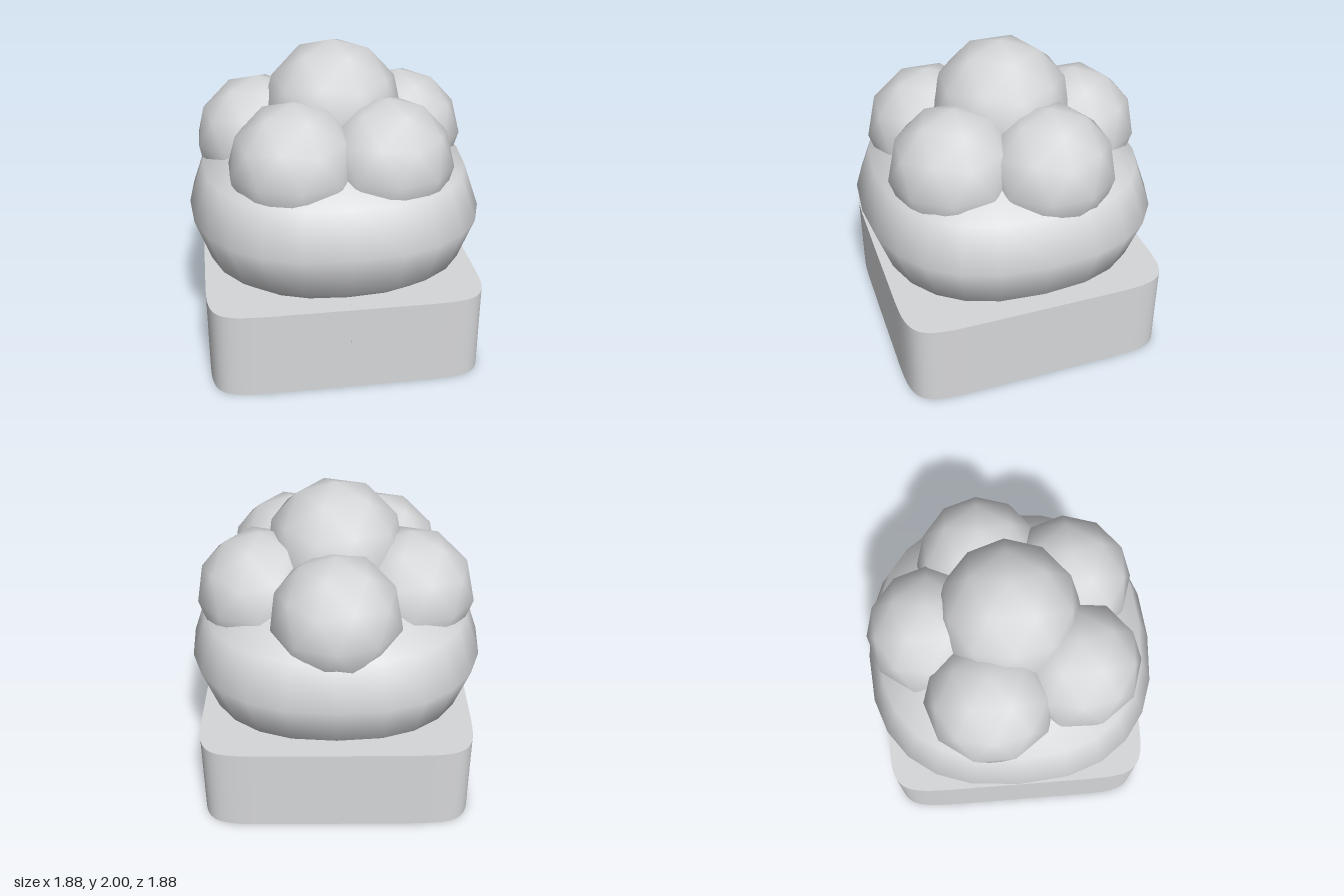
import * as THREE from 'three';
import { mergeVertices } from 'three/addons/utils/BufferGeometryUtils.js';

// Push a round cross-section towards a square one; lower power is squarer
function squareOff(geometry, power) {
  const p = geometry.attributes.position;
  for (let i = 0; i < p.count; i++) {
    const x = p.getX(i), z = p.getZ(i), r = Math.hypot(x, z);
    if (r < 1e-6) continue;
    const bend = (v) => Math.sign(v) * r * Math.pow(Math.abs(v) / r, power);
    p.setX(i, bend(x));
    p.setZ(i, bend(z));
  }
  geometry.computeVertexNormals();
  return geometry;
}

export function createModel() {
  const model = new THREE.Group();
  const grey = new THREE.MeshStandardMaterial({ color: 0xd6d7d9 });
  grey.name = 'light grey';
  const dark = new THREE.MeshStandardMaterial({ color: 0x160430 });
  dark.name = 'dark violet';

  const add = (name, geometry, material = grey) => {
    const mesh = new THREE.Mesh(geometry, material);
    mesh.name = name;
    model.add(mesh);
    return mesh;
  };

  // Square block with rounded corners and a dark underside
  const block = squareOff(new THREE.CylinderGeometry(0.873, 0.873, 0.566, 64), 0.23);
  add('base', block, [grey, grey, dark]).position.y = 0.283;

  // Wide, slightly squared mound
  const profile = [
    [0, 0.42], [0.61, 0.475], [0.845, 0.665], [0.942, 0.945],
    [0.845, 1.225], [0.54, 1.41], [0, 1.46],
  ].map(([r, y]) => new THREE.Vector2(r, y));
  let mound = new THREE.LatheGeometry(profile, 24);
  mound.deleteAttribute('uv');
  mound.deleteAttribute('normal');
  mound = mergeVertices(mound, 1e-4);
  add('mound', squareOff(mound, 0.82));

  // Faceted-outline balls, each with one vertex straight up
  const ball = (name, radius, x, y, z) => {
    const geometry = new THREE.IcosahedronGeometry(radius, 1);
    geometry.rotateZ(Math.atan(2 / (1 + Math.sqrt(5))));
    geometry.rotateY(Math.PI);
    add(name, geometry).position.set(x, y, z);
  };

  // Ring of five balls with one on top
  for (let i = 0; i < 5; i++) {
    const a = (i * 2 * Math.PI) / 5;
    ball('ringBall' + (i + 1), 0.415, 0.49 * Math.sin(a), 1.322, -0.49 * Math.cos(a));
  }
  ball('topBall', 0.45, 0, 1.55, 0);

  return model;
}
